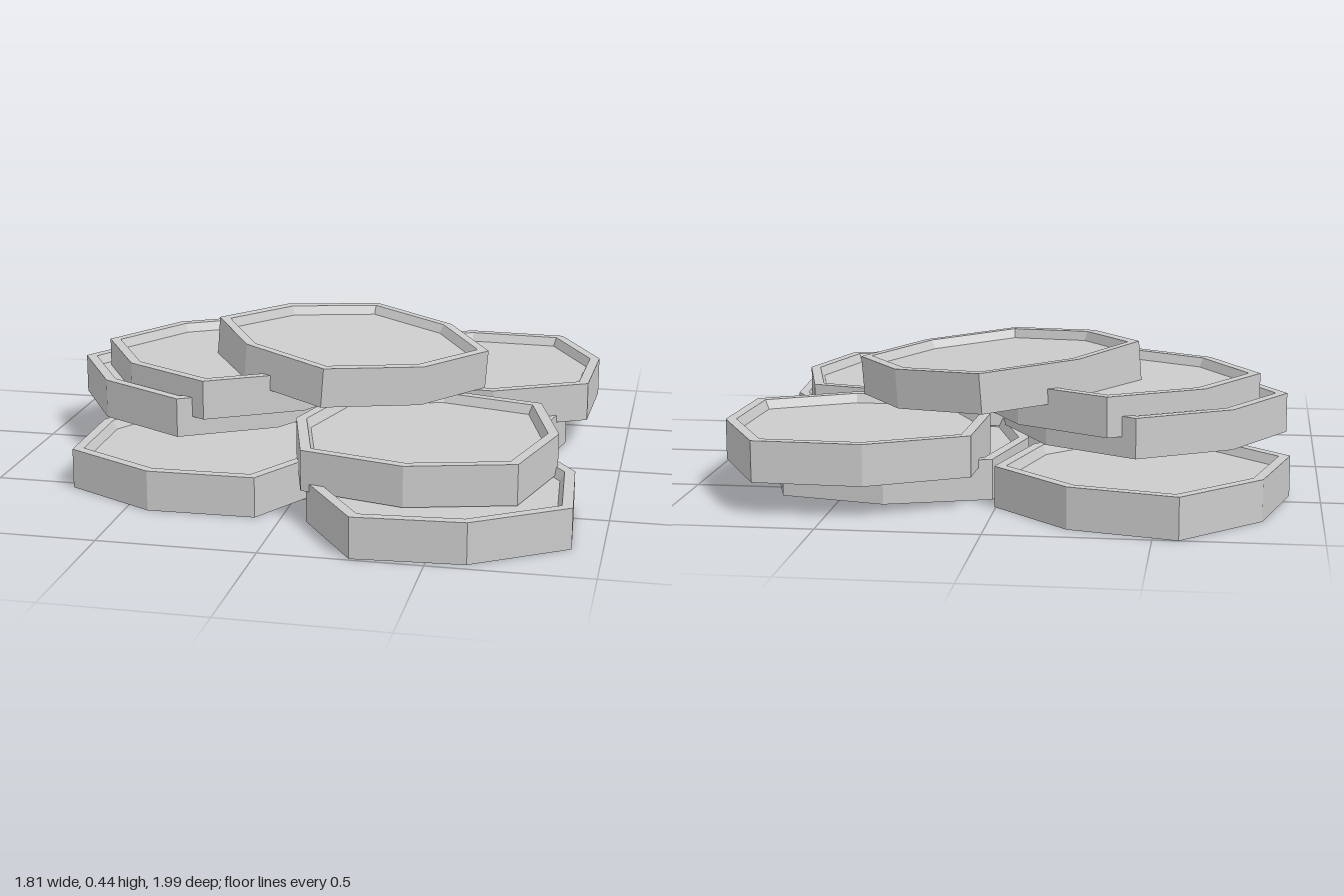
import * as THREE from 'three';

const SHARP = 0.472; // radius of the four sharp corners
const BLUNT = 0.423; // radius of the four blunt corners in between
const HALF = 0.065;  // half the thickness
const RECESS = 0.03; // depth of the sunken faces

// Eight-sided coin with a raised rim around a sunken face on both sides
function coinGeometry() {
  const floor = HALF - RECESS;
  const profile = [
    [0, -floor], [0.418, -floor], [0.434, -HALF], [SHARP, -HALF],
    [SHARP, HALF], [0.434, HALF], [0.418, floor], [0, floor],
  ].map(([r, y]) => new THREE.Vector2(r, y));
  const lathe = new THREE.LatheGeometry(profile, 8);

  // Pull in every second corner
  const pos = lathe.attributes.position;
  for (let i = 0; i < pos.count; i++) {
    if (Math.floor(i / profile.length) % 2 === 1) {
      const k = BLUNT / SHARP;
      pos.setXYZ(i, pos.getX(i) * k, pos.getY(i), pos.getZ(i) * k);
    }
  }
  const flat = lathe.toNonIndexed();
  flat.computeVertexNormals();
  return flat;
}

export function createModel() {
  const group = new THREE.Group();
  group.name = 'coinPile';
  const geometry = coinGeometry();
  const material = new THREE.MeshStandardMaterial({ color: 0xcccccc, flatShading: true });

  // name, x, underside y, z, turn, tilt
  const coins = [
    // Bottom layer
    ['backRightCoin', -0.45, 0, -0.546, 0.274, 0],
    ['frontRightCoin', -0.325, 0, 0.297, 0.543, 0],
    ['middleLeftCoin', 0.37, 0, -0.262, 0.825, 0],
    ['frontLeftCoin', 0.484, 0, 0.567, 1.115, 0],
    // Middle layer
    ['upperBackLeftCoin', 0.469, 0.105, -0.475, 1.009, 0],
    ['upperFrontLeftCoin', 0.403, 0.105, 0.385, Math.PI / 4, 0],
    ['lowerStackedCoin', -0.425, 0.14, -0.1, 0, 0],
    ['upperStackedCoin', -0.335, 0.205, -0.1, 0, 0],
    // Leaning coin on top
    ['topCoin', 0.062, 0.27, -0.1, 0, -0.075],
  ];
  for (const [name, x, y, z, turn, tilt] of coins) {
    const coin = new THREE.Mesh(geometry, material);
    coin.name = name;
    coin.position.set(x, y + HALF, z);
    coin.rotation.set(0, turn, tilt);
    group.add(coin);
  }
  return group;
}
